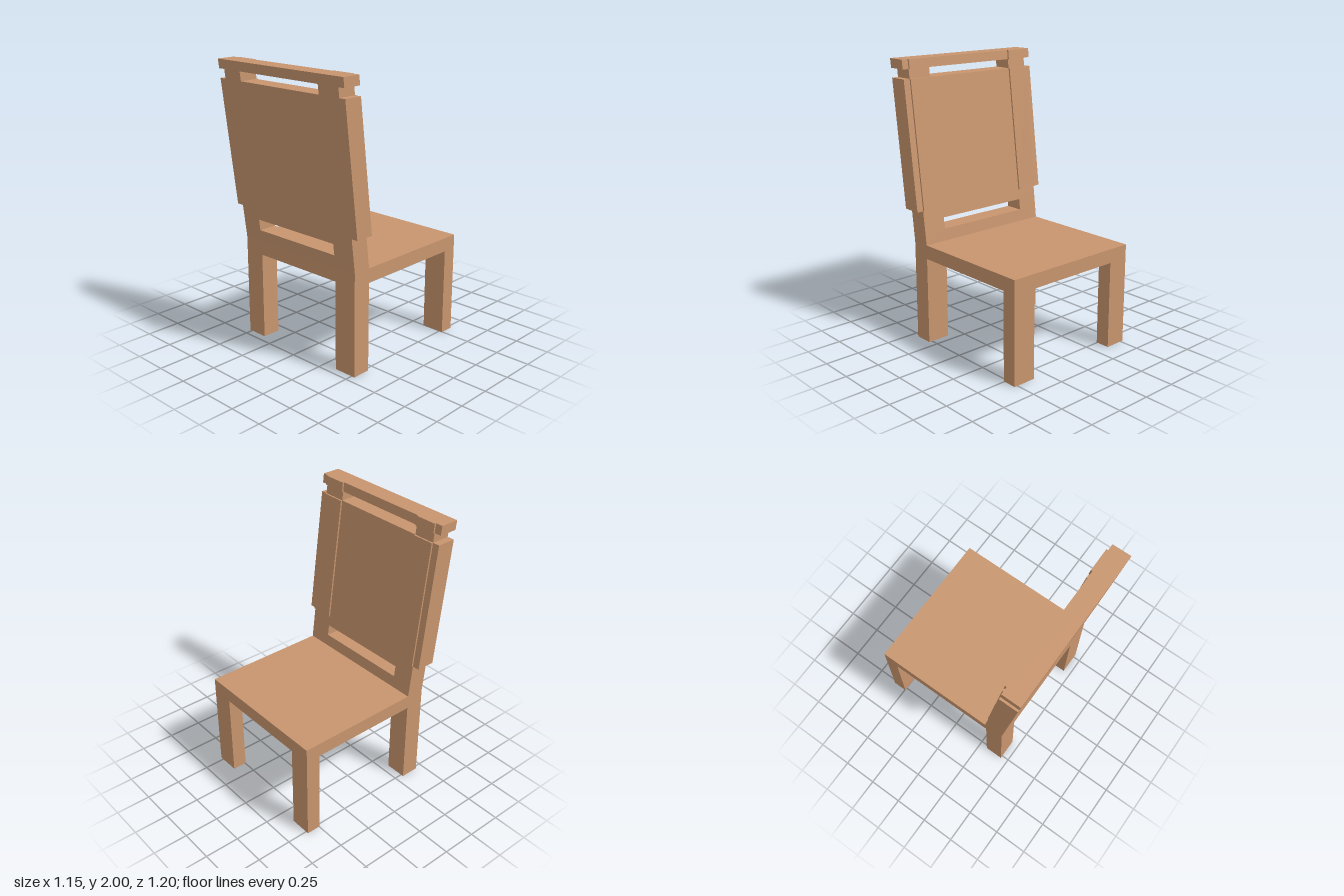
import * as THREE from 'three';

const SEAT_TOP = 0.73, SEAT_BOTTOM = 0.63;
const X0 = -0.52, X1 = 0.525;      // outer sides of the posts
const IN0 = -0.363, IN1 = 0.355;   // inner sides of the posts
const WING = 0.573;                // half width of back panel and top rail
const BACK_INNER = 0.31, BACK_DEPTH = 0.135;
const SLOPE = 0.155 / 1.27;        // backward lean of the backrest

export function createModel() {
  const chair = new THREE.Group();
  chair.name = 'chair';
  const wood = new THREE.MeshStandardMaterial({ color: 0xc8956e });

  const add = (name, geometry) => {
    const mesh = new THREE.Mesh(geometry, wood);
    mesh.name = name;
    chair.add(mesh);
  };

  const block = (x0, x1, y0, y1, z0, z1) =>
    new THREE.BoxGeometry(x1 - x0, y1 - y0, z1 - z0)
      .translate((x0 + x1) / 2, (y0 + y1) / 2, (z0 + z1) / 2);

  // Shear a geometry so it leans with the backrest
  const lean = (geometry) => {
    const g = geometry.index ? geometry.toNonIndexed() : geometry;
    const p = g.attributes.position;
    for (let i = 0; i < p.count; i++) {
      p.setZ(i, p.getZ(i) + (p.getY(i) - SEAT_TOP) * SLOPE);
    }
    g.computeVertexNormals();
    return g;
  };

  // Seat and legs
  add('seat', block(X0, X1, SEAT_BOTTOM, SEAT_TOP, -0.6, BACK_INNER + BACK_DEPTH));
  for (const [side, x0, x1] of [['right', X0, IN0], ['left', IN1, X1]]) {
    add(`${side}LegUnderBackrest`, block(x0, x1, 0, SEAT_BOTTOM, BACK_INNER, BACK_INNER + BACK_DEPTH));
    add(`${side}LegUnderSeatEdge`, block(x0, x1, 0, SEAT_BOTTOM, -0.6, -0.495));
  }

  // Backrest: posts, wide panel and top rail in one outline, with two slots
  const outline = new THREE.Shape([
    [X0, SEAT_TOP], [X1, SEAT_TOP], [X1, 0.97], [WING, 0.97], [WING, 1.87], [X1, 1.87],
    [X1, 1.935], [WING, 1.935], [WING, 2], [-WING, 2], [-WING, 1.935], [X0, 1.935],
    [X0, 1.87], [-WING, 1.87], [-WING, 0.97], [X0, 0.97],
  ].map(([x, y]) => new THREE.Vector2(x, y)));
  for (const [y0, y1] of [[0.815, 0.895], [1.87, 1.935]]) {
    outline.holes.push(new THREE.Path([
      new THREE.Vector2(IN0, y0), new THREE.Vector2(IN0, y1),
      new THREE.Vector2(IN1, y1), new THREE.Vector2(IN1, y0),
    ]));
  }
  const back = new THREE.ExtrudeGeometry(outline, { depth: BACK_DEPTH, bevelEnabled: false });
  add('backrest', lean(back.translate(0, 0, BACK_INNER)));

  // Thin raised strips on the seat side, where panel and rail cross the posts
  for (const [side, x0, x1] of [['right', X0, IN0], ['left', IN1, X1]]) {
    add(`${side}PanelStrip`, lean(block(x0, x1, 0.97, 1.87, BACK_INNER - 0.012, BACK_INNER)));
    add(`${side}RailStrip`, lean(block(x0, x1, 1.935, 2, BACK_INNER - 0.012, BACK_INNER)));
  }

  return chair;
}
